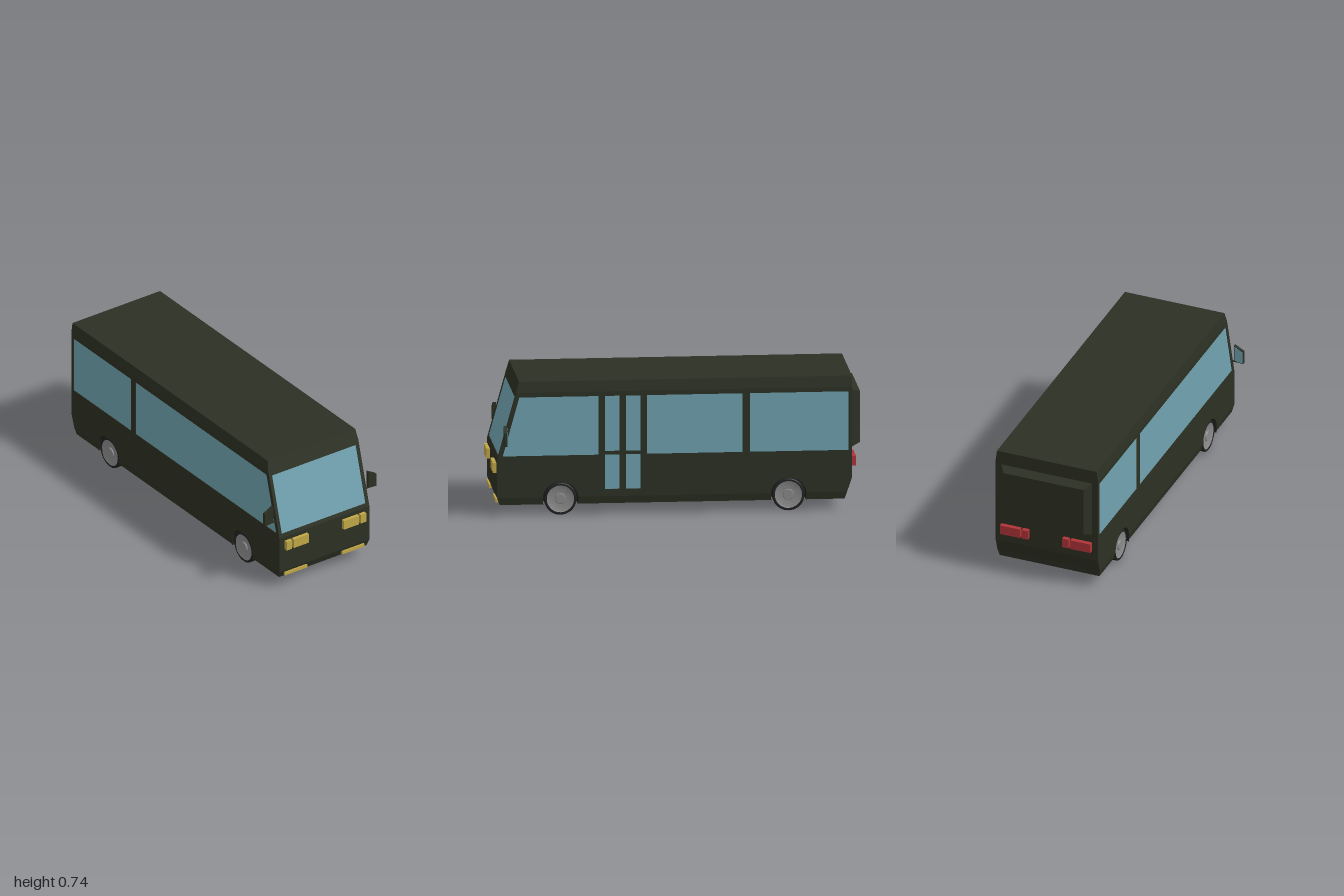
import * as THREE from 'three';
import { toCreasedNormals } from 'three/addons/utils/BufferGeometryUtils.js';

const mat = (color, side = THREE.FrontSide) => new THREE.MeshStandardMaterial({ color, side });
const paint = mat(0x2c3023), dark = mat(0x1d1f18, THREE.DoubleSide), glass = mat(0x70a3b0);
const amber = mat(0xc2a848), red = mat(0xb03438), rubber = mat(0x202022), metal = mat(0x8a8a8a);

// Body rows from floor to roof: height, half width, front z, back z
const ROWS = [
  [0.06, 0.292, 0.965, -0.91], [0.10, 0.30, 0.98, -0.923], [0.18, 0.30, 0.98, -0.95],
  [0.31, 0.30, 0.98, -0.95], [0.68, 0.30, 0.877, -0.95], [0.74, 0.292, 0.86, -0.95],
];
const AXLES = [-0.605, 0.635], HUB_Y = 0.088, ARCH = 0.098, WELL_X = 0.22;
const archAngle = (y) => Math.asin((y - HUB_Y) / ARCH);
const archHalf = (y) => ARCH * Math.cos(archAngle(y));
const slantZ = (y) => 0.98 - (y - 0.31) * 0.279;

export function createModel() {
  const model = new THREE.Group();
  const add = (name, geometry, material, parent = model) => {
    const mesh = new THREE.Mesh(geometry, material);
    mesh.name = name;
    parent.add(mesh);
    return mesh;
  };
  const box = (name, material, x0, x1, y0, y1, z0, z1) =>
    add(name, new THREE.BoxGeometry(x1 - x0, y1 - y0, z1 - z0), material)
      .position.set((x0 + x1) / 2, (y0 + y1) / 2, (z0 + z1) / 2);
  const shape = (pts, holes = []) => {
    const s = new THREE.Shape(pts.map((p) => new THREE.Vector2(...p)));
    s.holes = holes.map((h) => new THREE.Path(h.map((p) => new THREE.Vector2(...p))));
    return s;
  };
  const rect = (a0, a1, b0, b1) => [[a0, b0], [a1, b0], [a1, b1], [a0, b1]];
  const quads = (list) => {
    const g = new THREE.BufferGeometry();
    const flat = list.flatMap(([a, b, c, d]) => [a, b, c, a, c, d]).flat();
    g.setAttribute('position', new THREE.Float32BufferAttribute(flat, 3));
    g.computeVertexNormals();
    return g;
  };

  // Side slab from (z, y) outlines; its outer face lies at |x| = outer
  const sidePanel = (side, pts, holes, outer) => {
    const flip = (list) => list.map(([z, y]) => [-side * z, y]);
    const g = new THREE.ExtrudeGeometry(shape(flip(pts), holes.map(flip)), { depth: 0.012, bevelEnabled: false });
    return g.translate(0, 0, outer - 0.012).rotateY(side * Math.PI / 2);
  };
  // Front slab from (x, y) outlines, leaned back along the windscreen slope
  const frontPanel = (pts, holes, offset) => {
    const g = new THREE.ExtrudeGeometry(shape(pts, holes), { depth: 0.012, bevelEnabled: false });
    const p = g.attributes.position;
    for (let i = 0; i < p.count; i++) p.setZ(i, p.getZ(i) - 0.012 + offset + slantZ(p.getY(i)));
    g.computeVertexNormals();
    return g;
  };

  // Plain shell: lower front, back, roof, sill and cant bands
  const shell = [];
  const band = (y0, w0, f0, b0, y1, w1, f1, b1) => shell.push(
    [[w0, y0, f0], [w0, y0, b0], [w1, y1, b1], [w1, y1, f1]],
    [[-w0, y0, b0], [-w0, y0, f0], [-w1, y1, f1], [-w1, y1, b1]]);
  for (let i = 0; i < ROWS.length - 1; i++) {
    const [y0, w0, f0, b0] = ROWS[i], [y1, w1, f1, b1] = ROWS[i + 1];
    if (i < 3) shell.push([[-w0, y0, f0], [w0, y0, f0], [w1, y1, f1], [-w1, y1, f1]]);
    shell.push([[w0, y0, b0], [-w0, y0, b0], [-w1, y1, b1], [w1, y1, b1]]);
  }
  band(...ROWS[4], ...ROWS[5]);
  const stops = ([, , f, b], h) => [b, AXLES[0] - h, AXLES[0] + h, AXLES[1] - h, AXLES[1] + h, f];
  const low = stops(ROWS[0], archHalf(0.06)), high = stops(ROWS[1], archHalf(0.10));
  for (let i = 0; i < 6; i += 2) band(0.06, 0.292, low[i + 1], low[i], 0.10, 0.30, high[i + 1], high[i]);
  shell.push([[-0.292, 0.74, 0.86], [0.292, 0.74, 0.86], [0.292, 0.74, -0.95], [-0.292, 0.74, -0.95]]);
  add('bodyShell', quads(shell), paint);

  // Floor with notches for the wheels
  const edge = low.flatMap((z, i) => (i === 0 || i === 5 ? [[0.292, z]]
    : i % 2 ? [[0.292, z], [WELL_X, z]] : [[WELL_X, z], [0.292, z]]));
  const floorPts = [...edge, ...edge.map(([x, z]) => [-x, z]).reverse()];
  add('floor', new THREE.ShapeGeometry(shape(floorPts)).rotateX(Math.PI / 2).translate(0, 0.06, 0), paint);

  // Side walls with wheel arches and window openings
  const wall = [[-0.923, 0.10]];
  for (const z of AXLES) {
    const a = archAngle(0.10);
    for (let i = 0; i <= 20; i++) {
      const t = Math.PI - a - (Math.PI - 2 * a) * i / 20;
      wall.push([z + ARCH * Math.cos(t), HUB_Y + ARCH * Math.sin(t)]);
    }
  }
  wall.push([0.98, 0.10], [0.98, 0.31], [0.877, 0.68], [-0.95, 0.68], [-0.95, 0.18]);
  const Y0 = 0.33, Y1 = 0.655;
  const frontPane = (z) => [[z, Y0], [0.95, Y0], [0.86, Y1], [z, Y1]];
  const rearPane = rect(-0.93, -0.395, Y0, Y1);
  const panes = {
    '-1': [rearPane, frontPane(-0.355)],
    1: [rearPane, rect(-0.355, 0.165, Y0, Y1), frontPane(0.43),
      ...[0.2, 0.315].flatMap((z) => [rect(z, z + 0.08, 0.35, Y1), rect(z, z + 0.08, 0.14, 0.33)])],
  };
  for (const side of [-1, 1]) {
    add('sideWall', sidePanel(side, wall, panes[side], 0.30), paint);
    panes[side].forEach((p, i) => add(i > 2 ? 'doorGlass' : 'sideWindow', sidePanel(side, p, [], 0.297), glass));
  }

  // Windscreen and its frame
  const screen = rect(-0.28, 0.28, Y0, Y1);
  add('windscreenFrame', frontPanel(
    [[-0.3, 0.31], [0.3, 0.31], [0.3, 0.68], [0.292, 0.74], [-0.292, 0.74], [-0.3, 0.68]], [screen], 0), paint);
  add('windscreen', frontPanel(screen, [], -0.004), glass);

  // Raised rear hatch with sloping edges
  const ring = (w, y0, y1, z) => [[w, y0, z], [-w, y0, z], [-w, y1, z], [w, y1, z]];
  const base = ring(0.265, 0.34, 0.66, -0.95), face = ring(0.235, 0.36, 0.64, -1.0);
  add('rearHatch', quads([face, ...base.map((p, i) => [p, base[(i + 1) % 4], face[(i + 1) % 4], face[i]])]), paint);

  // Wheel profiles, outer face upwards
  const lathe = (pts) => toCreasedNormals(
    new THREE.LatheGeometry(pts.map((p) => new THREE.Vector2(...p)), 36), 0.5);
  const tyre = lathe([[0, -0.0285], [0.084, -0.0285], [0.088, -0.024], [0.088, 0.024],
    [0.084, 0.0285], [0.075, 0.0285], [0.073, 0.018]]);
  const rim = lathe([[0.075, 0.026], [0.066, 0.022], [0.03, 0.02], [0.027, 0.027], [0, 0.027]]);
  const a0 = archAngle(0.06), sweep = Math.PI - 2 * a0;

  for (const s of [-1, 1]) {
    const span = (name, m, a, b, ...rest) => box(name, m, Math.min(s * a, s * b), Math.max(s * a, s * b), ...rest);

    // Wheels in their wells
    for (const z of AXLES) {
      const wheel = new THREE.Group();
      wheel.name = 'wheel';
      wheel.position.set(s * 0.2635, HUB_Y, z);
      wheel.rotation.z = -s * Math.PI / 2;
      add('tyre', tyre, rubber, wheel);
      add('rim', rim, metal, wheel);
      model.add(wheel);
      add('wheelWell', new THREE.CylinderGeometry(ARCH, ARCH, 0.079, 24, 1, true, a0, sweep)
        .rotateZ(Math.PI / 2), dark).position.set(s * 0.2595, HUB_Y, z);
      add('wheelWellBack', new THREE.CircleGeometry(ARCH, 24, a0, sweep)
        .rotateY(Math.PI / 2), dark).position.set(s * WELL_X, HUB_Y, z);
    }

    // Lamps
    span('headlamp', amber, 0.117, 0.218, 0.233, 0.287, 0.97, 1.0);
    span('frontIndicator', amber, 0.229, 0.265, 0.233, 0.287, 0.97, 1.0);
    span('fogLamp', amber, 0.117, 0.265, 0.07, 0.088, 0.95, 0.985);
    span('tailLamp', red, 0.147, 0.265, 0.235, 0.289, -0.975, -0.94);
    span('rearIndicator', red, 0.10, 0.137, 0.235, 0.289, -0.975, -0.94);

    // Mirrors on short arms, glass facing back
    span('mirrorArm', paint, 0.29, 0.33, 0.397, 0.403, 0.933, 0.943);
    const outline = (m) => shape([[0.318 + m, 0.402 + m], [0.318 + m, 0.502 - m * 1.6],
      [0.372 - m, 0.472 - m * 0.5], [0.372 - m, 0.397 + m]].map(([x, y]) => [s * x, y]));
    const slab = (m, depth) => new THREE.ExtrudeGeometry(outline(m), { depth, bevelEnabled: false });
    add('mirrorHousing', slab(0, 0.018), paint).position.z = 0.93;
    add('mirrorGlass', slab(0.005, 0.004), glass).position.z = 0.928;
  }
  return model;
}
